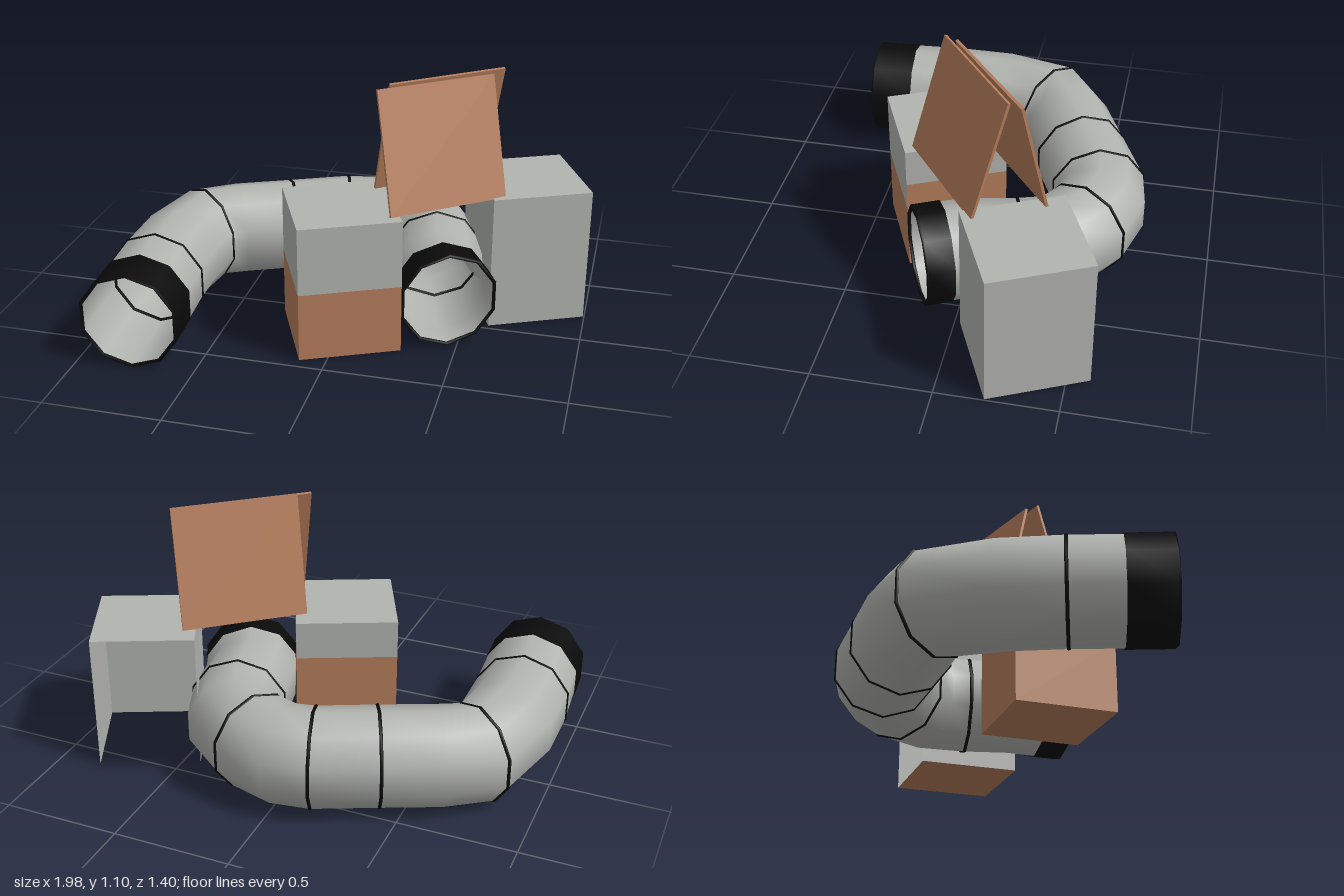
import * as THREE from 'three';

const material = (name, color, side = THREE.DoubleSide) => {
  const m = new THREE.MeshStandardMaterial({ color, side });
  m.name = name;
  return m;
};

export function createModel() {
  const model = new THREE.Group();
  const grey = material('light grey', 0xb2b4b0);
  const orange = material('cardboard orange', 0xb57d5b);
  const black = material('black trim', 0x0a0a0a);
  black.side = THREE.FrontSide;

  const add = (parent, name, geometry, mat) => {
    const mesh = new THREE.Mesh(geometry, mat);
    mesh.name = name;
    parent.add(mesh);
    return mesh;
  };

  // Tunnel centreline on the ground plane: x, z
  const path = [
    [-0.76, 0.67], [-0.77, 0.49], [-0.785, 0.29], [-0.785, 0.05], [-0.735, -0.195],
    [-0.6, -0.28], [-0.375, -0.38], [-0.135, -0.49], [-0.01, -0.51], [0.14, -0.465],
    [0.28, -0.36], [0.33, -0.22], [0.37, -0.02], [0.41, 0.075], [0.46, 0.18],
  ].map(([x, z]) => new THREE.Vector3(x, 0.217, z));
  const curve = new THREE.CatmullRomCurve3(path);
  const tangents = path.map((p, i) => curve.getTangent(i / (path.length - 1)));
  const sides = 10;

  // Open tube through the path stations first..last
  const sweep = (first, last, radius) => {
    const pos = [], index = [];
    for (let i = first; i <= last; i++) {
      const t = tangents[i], p = path[i];
      for (let j = 0; j < sides; j++) {
        const a = (j + 0.5) / sides * Math.PI * 2;
        const c = radius * Math.cos(a);
        pos.push(p.x - t.z * c, p.y + radius * Math.sin(a), p.z + t.x * c);
        if (i === last) continue;
        const row = (i - first) * sides, k = (j + 1) % sides;
        index.push(row + j, row + sides + j, row + k);
        index.push(row + sides + j, row + sides + k, row + k);
      }
    }
    const g = new THREE.BufferGeometry();
    g.setAttribute('position', new THREE.Float32BufferAttribute(pos, 3));
    g.setIndex(index);
    g.computeVertexNormals();
    return g;
  };

  const tunnel = new THREE.Group();
  tunnel.name = 'tunnel';
  model.add(tunnel);
  const end = path.length - 1;
  add(tunnel, 'tunnelSkin', sweep(0, end, 0.208), grey);
  add(tunnel, 'leftMouthBand', sweep(0, 1, 0.213), black);
  add(tunnel, 'rightMouthBand', sweep(end - 1, end, 0.213), black);

  // Hoops at the seams and both mouths
  for (const i of [0, 2, 4, 6, 7, 9, 11, end]) {
    const hoop = add(tunnel, 'hoop', new THREE.TorusGeometry(0.206, 0.008, 6, sides), black);
    hoop.geometry.rotateZ(Math.PI / sides);
    hoop.position.copy(path[i]);
    hoop.lookAt(path[i].clone().add(tangents[i]));
  }

  // Boxes: walls numbered 0 front, 1 right, 2 back, 3 left
  const size = 0.43, height = 0.595;
  const makeBox = (name, x, z) => {
    const box = new THREE.Group();
    box.name = name;
    box.position.set(x, 0.003, z);
    box.rotation.y = 0.43;
    model.add(box);
    const lid = add(box, 'lid', new THREE.PlaneGeometry(size, size), grey);
    lid.rotation.x = -Math.PI / 2;
    lid.position.y = height;
    return box;
  };
  const wall = (box, k, y0, y1, mat) => {
    const g = new THREE.PlaneGeometry(size, y1 - y0);
    g.translate(0, (y0 + y1) / 2, size / 2);
    g.rotateY(k * Math.PI / 2);
    add(box, 'wall', g, mat);
  };
  const floor = (box, mat) => {
    add(box, 'floor', new THREE.PlaneGeometry(size, size), mat).rotation.x = Math.PI / 2;
  };

  const frontBox = makeBox('frontBox', -0.005, 0.165);
  [0.3, 0.43, 0.43, 0.3].forEach((split, k) => {
    wall(frontBox, k, 0, split, orange);
    wall(frontBox, k, split, height, grey);
  });
  floor(frontBox, orange);

  // Rear box is open at the back, its floor faces down only
  const rearBox = makeBox('rearBox', 0.71, -0.31);
  for (const k of [0, 1, 3]) wall(rearBox, k, 0, height, grey);
  floor(rearBox, material('floor orange', 0xb57d5b, THREE.FrontSide));

  // Tent roof: two leaning panels, ends open
  const tent = new THREE.Group();
  tent.name = 'tentRoof';
  model.add(tent);
  const along = new THREE.Vector3(0.78, 0, -0.63).normalize();
  const panel = (name, foot, top) => {
    const a = new THREE.Vector3(...foot), b = new THREE.Vector3(...top);
    const up = b.clone().sub(a);
    const slope = up.length();
    up.normalize();
    const right = along.clone().addScaledVector(up, -along.dot(up)).normalize();
    const out = right.clone().cross(up);
    const g = new THREE.BoxGeometry(0.535, slope, 0.012);
    g.applyMatrix4(new THREE.Matrix4().makeBasis(right, up, out));
    add(tent, name, g, orange).position.copy(a.add(b).multiplyScalar(0.5)).addScaledVector(along, 0.267);
  };
  panel('frontPanel', [0.225, 0.595, 0.25], [0.135, 1.09, 0.125]);
  panel('backPanel', [0.095, 0.6, -0.02], [0.175, 1.1, 0.07]);

  return model;
}
